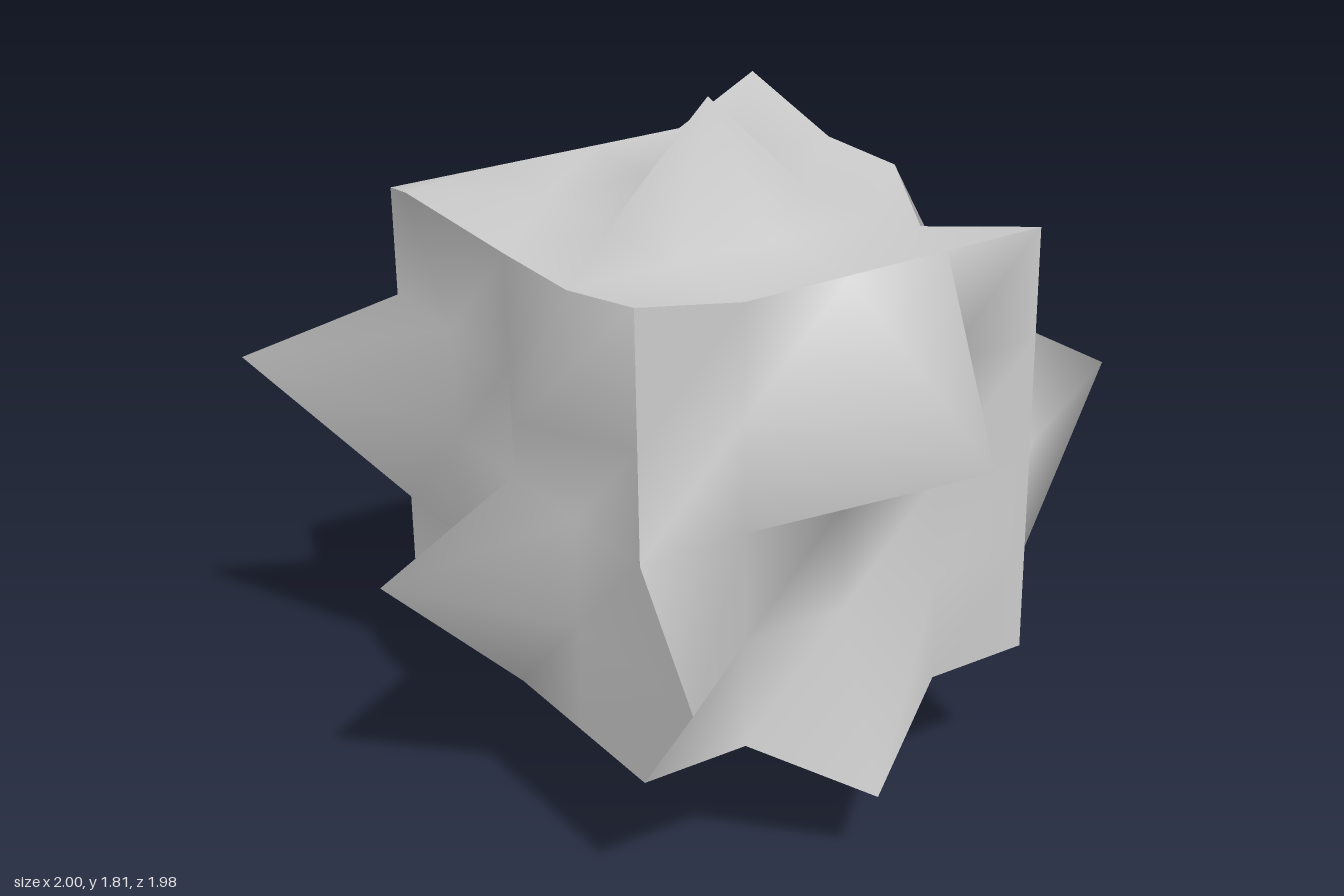
import * as THREE from 'three';

const SIZE = 1.133, SEG = 4;
const CENTER = new THREE.Vector3(-0.065, 0.968, -0.112);

// Grid points pulled out of the cube: [column, row, layer] -> new position.
// Columns run along x, rows along y, layers along z (0 = back, 4 = front).
const PULLED = [
  [[2, 4, 2], [-0.065, 1.81, -0.112]],  // top peak
  [[4, 4, 0], [0.545, 1.605, -0.81]],   // back left horn
  [[0, 4, 1], [-0.73, 1.62, -0.395]],   // top right bump
  [[0, 4, 4], [-0.632, 1.585, 0.455]],  // raised front corner
  [[4, 4, 3], [0.365, 1.48, 0.17]],     // dent in the top edge
  [[0, 3, 3], [-0.78, 1.253, 0.17]],    // side bump
  [[2, 3, 4], [-0.065, 1.253, 0.985]],  // front spike
  [[4, 2, 3], [0.995, 0.97, 0.17]],     // left spike
  [[0, 2, 0], [-0.935, 1.045, -0.99]],  // back corner spike
  [[0, 1, 2], [-1.0, 0.775, -0.112]],   // right spike
  [[0, 1, 4], [-0.632, 0.685, 0.665]],  // front edge spike
  [[2, 0, 4], [-0.065, 0.235, 0.608]],  // lower front spike
  [[2, 0, 2], [-0.065, 0, -0.112]],     // bottom spike
  [[2, 0, 0], [-0.065, 0.402, -0.952]], // lower back spike
  [[4, 0, 0], [0.502, 0.025, -0.678]],  // back leg
  [[0, 0, 0], [-0.632, 0.483, -0.678]], // lifted back corner
];

export function createModel() {
  const geometry = new THREE.BoxGeometry(SIZE, SIZE, SIZE, SEG, SEG, SEG);
  const pulled = new Map(PULLED.map(([cell, to]) => [cell.join(), to]));
  const pos = geometry.attributes.position;
  const p = new THREE.Vector3();

  // Move every copy of a grid point together so the faces stay joined
  for (let i = 0; i < pos.count; i++) {
    p.fromBufferAttribute(pos, i);
    const cell = p.toArray().map((v) => Math.round((v / SIZE + 0.5) * SEG));
    const to = pulled.get(cell.join());
    if (to) p.fromArray(to);
    else p.add(CENTER);
    pos.setXYZ(i, p.x, p.y, p.z);
  }
  // Smooth inside each of the six sides, sharp where the sides meet
  geometry.computeVertexNormals();

  const body = new THREE.Mesh(geometry, new THREE.MeshStandardMaterial({ color: 0xcccccc }));
  body.name = 'spikedCube';
  const group = new THREE.Group();
  group.name = 'spikedBlock';
  group.add(body);
  return group;
}
